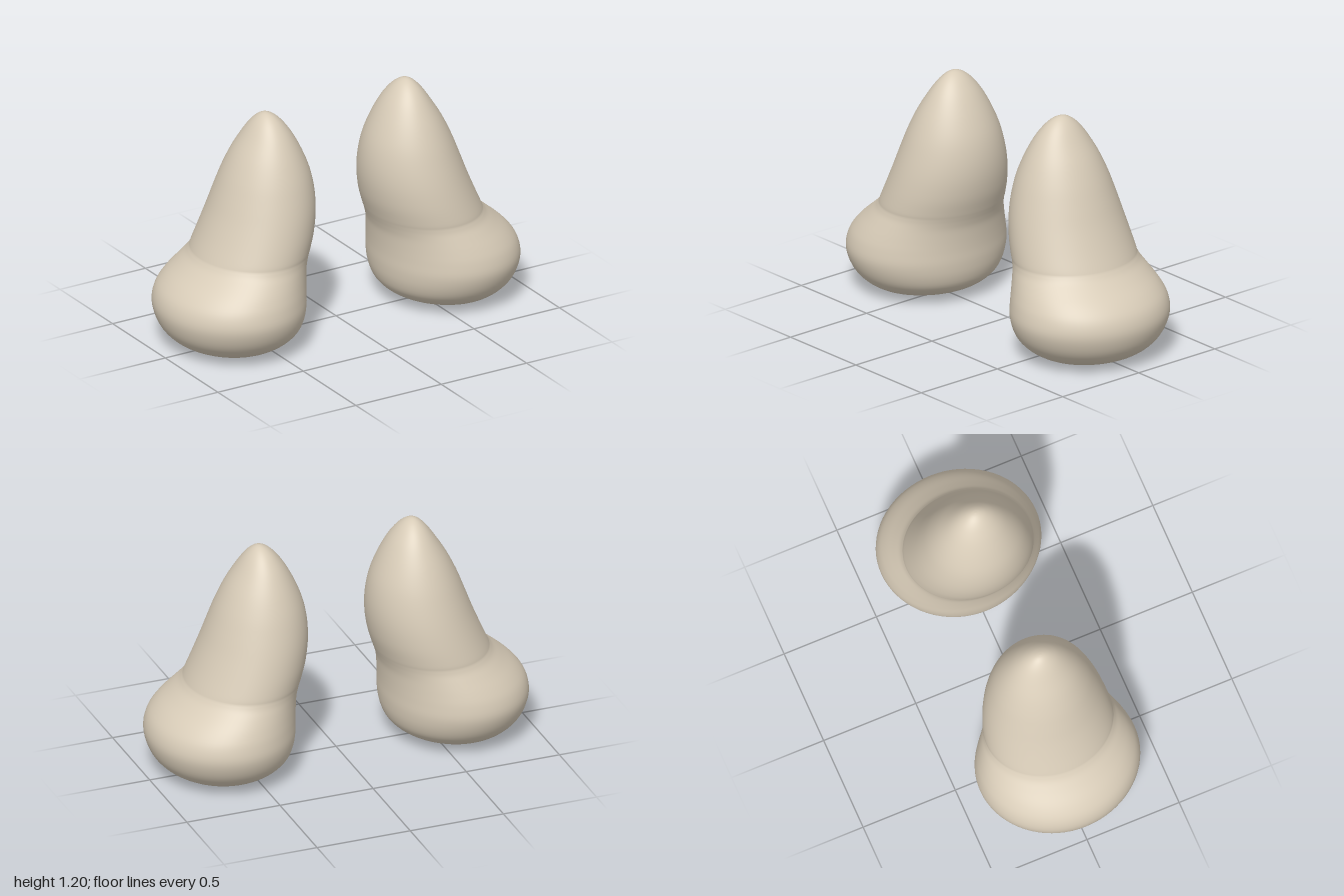
import * as THREE from 'three';
import { mergeVertices } from 'three/addons/utils/BufferGeometryUtils.js';

// Elliptical cross-sections: [height, inner x, outer x, half depth]
const footSections = [
  [0.003, 0.63, 0.63, 0], [0.008, 0.52, 0.74, 0.12], [0.02, 0.43, 0.83, 0.23],
  [0.05, 0.345, 0.90, 0.305], [0.1, 0.287, 0.955, 0.365], [0.16, 0.262, 0.987, 0.402],
  [0.23, 0.253, 1.0, 0.42], [0.3, 0.252, 0.982, 0.41], [0.36, 0.249, 0.935, 0.388],
  [0.42, 0.243, 0.865, 0.36], [0.46, 0.233, 0.82, 0.341], [0.49, 0.223, 0.796, 0.332],
];
const shaftSections = [
  [0.49, 0.223, 0.796, 0.332], [0.52, 0.213, 0.783, 0.33], [0.6, 0.19, 0.748, 0.318],
  [0.7, 0.176, 0.707, 0.298], [0.8, 0.178, 0.67, 0.272], [0.9, 0.197, 0.631, 0.24],
  [1.0, 0.235, 0.583, 0.197], [1.09, 0.282, 0.528, 0.146], [1.15, 0.325, 0.487, 0.1],
  [1.185, 0.36, 0.455, 0.06], [1.202, 0.389, 0.43, 0.027], [1.207, 0.41, 0.41, 0],
];

// Smoothly interpolate the sections into many rings
function refine(sections, count) {
  const widths = new THREE.CatmullRomCurve3(
    sections.map(([y, a, b]) => new THREE.Vector3(a, y, b)), false, 'catmullrom', 0.5);
  const depths = new THREE.CatmullRomCurve3(
    sections.map(([y, , , d]) => new THREE.Vector3(d, y, 0)), false, 'catmullrom', 0.5);
  return Array.from({ length: count + 1 }, (_, i) => {
    const w = widths.getPoint(i / count);
    const d = depths.getPoint(i / count);
    return [w.y, w.x, w.z, Math.max(0, d.x)];
  });
}

function loft(rings, sides) {
  const positions = [];
  const indices = [];
  rings.forEach(([y, inner, outer, depth], r) => {
    for (let s = 0; s < sides; s++) {
      const angle = (s / sides) * Math.PI * 2;
      positions.push(
        (inner + outer) / 2 + Math.cos(angle) * (outer - inner) / 2,
        y,
        Math.sin(angle) * depth);
      if (r === rings.length - 1) continue;
      const a = r * sides + s;
      const b = r * sides + (s + 1) % sides;
      if (r < rings.length - 2) indices.push(a, a + sides, b + sides);
      else indices.push(a, a + sides, b);
      if (r > 0 && r < rings.length - 2) indices.push(a, b + sides, b);
      else if (r === 0) continue;
    }
  });
  let geometry = new THREE.BufferGeometry();
  geometry.setAttribute('position', new THREE.Float32BufferAttribute(positions, 3));
  geometry.setIndex(indices);
  // Weld the pole points before computing smooth normals
  geometry = mergeVertices(geometry, 1e-5);
  geometry.computeVertexNormals();
  return geometry;
}

export function createModel() {
  const group = new THREE.Group();
  group.name = 'leaningPegPair';
  const beige = new THREE.MeshStandardMaterial({ color: 0xd8ccb8 });
  beige.name = 'warm beige';

  // Bulging foot and leaning rounded shaft meet in a soft crease
  const rings = [...refine(footSections, 44), ...refine(shaftSections, 44).slice(1)];
  const geometry = loft(rings, 72);

  // The pegs are symmetric front to back, so a half turn mirrors them
  for (const [name, turn] of [['leftPeg', 0], ['rightPeg', Math.PI]]) {
    const peg = new THREE.Mesh(geometry, beige);
    peg.name = name;
    peg.rotation.y = turn;
    group.add(peg);
  }
  return group;
}
